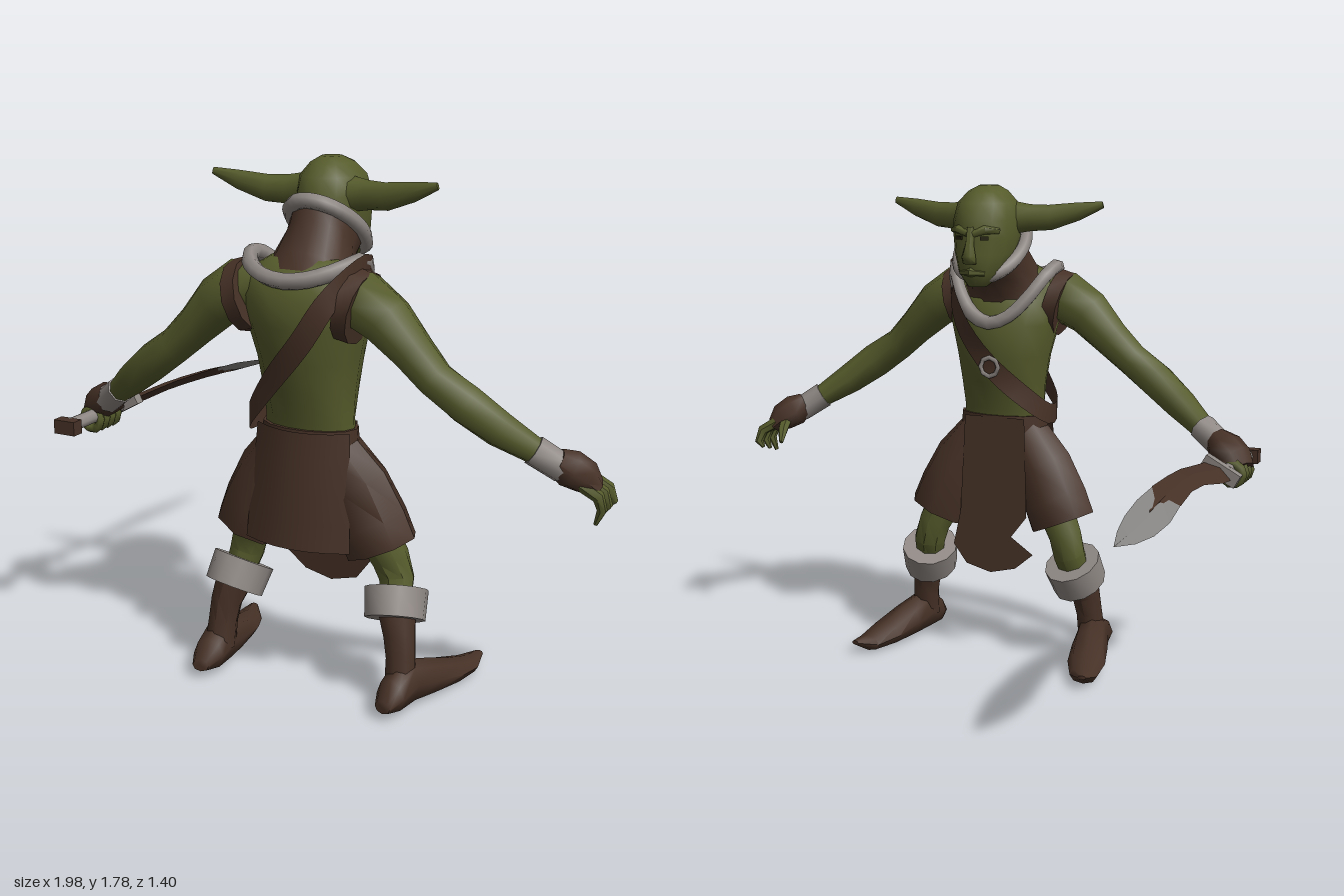
import * as THREE from 'three';
import { toCreasedNormals } from 'three/addons/utils/BufferGeometryUtils.js';

const V = (a) => new THREE.Vector3(...a);
const mat = (name, color) => Object.assign(new THREE.MeshStandardMaterial({ color }), { name });

// Skin through elliptical sections [x, y, z, a, b]; a lies along ref, b across it
function loft(sections, { n = 10, ref = [1, 0, 0], dir = null, crease = 0.8 } = {}) {
  const pos = [], index = [], c = sections.map((s) => V(s.slice(0, 3))), last = c.length - 1;
  sections.forEach(([, , , a, b = a], i) => {
    const t = dir ? V(dir) : c[Math.min(i + 1, last)].clone().sub(c[Math.max(i - 1, 0)]);
    t.normalize();
    const u = V(ref).addScaledVector(t, -V(ref).dot(t)).normalize();
    const v = t.clone().cross(u);
    for (let j = 0; j < n; j++) {
      const q = (j / n) * Math.PI * 2;
      pos.push(...c[i].clone().addScaledVector(u, a * Math.cos(q)).addScaledVector(v, b * Math.sin(q)));
    }
  });
  const end = n * (last + 1);
  pos.push(...c[0], ...c[last]);
  for (let j = 0; j < n; j++) {
    const k = (j + 1) % n;
    for (let i = 0; i < last; i++) {
      const p = i * n;
      index.push(p + j, p + k, p + n + j, p + k, p + n + k, p + n + j);
    }
    index.push(end, k, j, end + 1, last * n + j, last * n + k);
  }
  const g = new THREE.BufferGeometry();
  g.setAttribute('position', new THREE.Float32BufferAttribute(pos, 3));
  g.setIndex(index);
  return toCreasedNormals(g, crease);
}

// Flat band along a closed path, facing away from the body axis
function ribbon(points, width, steps = 40) {
  const curve = new THREE.CatmullRomCurve3(points.map(V), true), pos = [], index = [];
  for (let i = 0; i <= steps; i++) {
    const p = curve.getPointAt((i % steps) / steps), t = curve.getTangentAt((i % steps) / steps);
    const side = new THREE.Vector3(p.x, 0, p.z - 0.48).cross(t).normalize().multiplyScalar(width / 2);
    pos.push(...p.clone().add(side), ...p.clone().sub(side));
    if (i < steps) index.push(2 * i, 2 * i + 1, 2 * i + 2, 2 * i + 1, 2 * i + 3, 2 * i + 2);
  }
  const g = new THREE.BufferGeometry();
  g.setAttribute('position', new THREE.Float32BufferAttribute(pos, 3));
  g.setIndex(index);
  g.computeVertexNormals();
  return g;
}

// Closed roll following f(angle) -> [x, y, z]
function roll(f, radius) {
  const pts = Array.from({ length: 16 }, (_, i) => V(f((i / 16) * Math.PI * 2)));
  return new THREE.TubeGeometry(new THREE.CatmullRomCurve3(pts, true), 32, radius, 6, true);
}

export function createModel() {
  const model = new THREE.Group();
  const skin = mat('green skin', 0x565b2b), leather = mat('brown leather', 0x463126);
  const fur = mat('grey trim', 0x8f8884), steel = mat('steel', 0x858381), dark = mat('dark eye', 0x24200f);
  const cloth = mat('brown cloth', 0x463126);
  cloth.side = THREE.DoubleSide;
  const add = (name, geometry, material) => {
    const m = new THREE.Mesh(geometry, material);
    m.name = name;
    model.add(m);
    return m;
  };
  const up = { dir: [0, 1, 0], n: 14, crease: 1.2 };

  // Torso and head
  add('torso', loft([
    [0, 0.86, 0.47, 0.165, 0.09], [0, 0.95, 0.475, 0.16, 0.09], [0, 1.05, 0.47, 0.165, 0.13],
    [0, 1.15, 0.47, 0.18, 0.15], [0, 1.27, 0.48, 0.21, 0.17], [0, 1.36, 0.5, 0.225, 0.15],
    [0, 1.43, 0.51, 0.2, 0.11], [0, 1.48, 0.5, 0.12, 0.06]], up), skin);
  add('head', loft([
    [0, 1.425, 0.215, 0.035, 0.035], [0, 1.47, 0.265, 0.08, 0.115], [0, 1.54, 0.29, 0.105, 0.145],
    [0, 1.6, 0.3, 0.115, 0.15], [0, 1.66, 0.3, 0.115, 0.155], [0, 1.72, 0.305, 0.105, 0.125],
    [0, 1.76, 0.31, 0.07, 0.08], [0, 1.78, 0.315, 0.035, 0.035]], up), skin);
  add('nose', loft([[0, 1.51, 0.145, 0.026, 0.02], [0, 1.535, 0.135, 0.028, 0.026],
    [0, 1.58, 0.145, 0.016, 0.02], [0, 1.64, 0.155, 0.014, 0.016]], { ...up, n: 6 }), skin);
  add('lips', loft([[-0.045, 1.475, 0.175, 0.01], [0, 1.48, 0.15, 0.016], [0.045, 1.475, 0.175, 0.01]],
    { ref: [0, 1, 0], n: 6 }), skin);

  // Hood, neck and padded collars
  add('neckCowl', loft([[0, 1.36, 0.485, 0.2, 0.15], [0, 1.44, 0.45, 0.14, 0.12],
    [0, 1.51, 0.39, 0.115, 0.13], [0, 1.56, 0.345, 0.115, 0.155]], { n: 14, crease: 1.2 }), leather);
  add('cowlTrim', roll((q) => [0.12 * Math.sin(q), 1.555 + 0.1 * Math.cos(q), 0.345 + 0.13 * Math.cos(q)], 0.026), fur);
  add('collarTrim', roll((q) => {
    const c = Math.cos(q);
    return [0.195 * Math.sin(q), 1.48 - c * c * (c > 0 ? 0.055 : 0.2), 0.48 + 0.16 * c];
  }, 0.027), fur);

  // Diagonal strap with buckle
  add('chestStrap', ribbon([[0.22, 1.47, 0.5], [0.17, 1.38, 0.66], [0.09, 1.25, 0.69], [-0.05, 1.09, 0.655],
    [-0.17, 0.95, 0.58], [-0.19, 0.93, 0.47], [-0.13, 1.0, 0.37], [0, 1.13, 0.31],
    [0.1, 1.27, 0.3], [0.18, 1.4, 0.38]], 0.075), cloth);
  const buckle = add('buckle', new THREE.TorusGeometry(0.035, 0.009, 4, 8), fur);
  buckle.position.set(-0.01, 1.12, 0.3);

  // Waist, back panel and ragged front flap
  add('waistCloth', loft([[0, 0.6, 0.46, 0.11, 0.08], [0, 0.72, 0.47, 0.18, 0.105],
    [0, 0.82, 0.475, 0.18, 0.105], [0, 0.925, 0.475, 0.172, 0.1]], up), leather);
  const back = new THREE.PlaneGeometry(2, 1, 6, 4), bp = back.attributes.position;
  for (let i = 0; i < bp.count; i++) {
    const x = bp.getX(i), d = 0.5 - bp.getY(i);
    bp.setXYZ(i, x * (0.172 + 0.023 * d), 0.92 - 0.39 * d, 0.585 + 0.04 * d - (0.06 - 0.01 * d) * x * x);
  }
  back.computeVertexNormals();
  add('backPanel', back, cloth);
  const flap = new THREE.ShapeGeometry(new THREE.Shape([
    [-0.12, 0.92], [-0.14, 0.55], [-0.08, 0.47], [-0.17, 0.41], [-0.1, 0.35], [0, 0.325],
    [0.1, 0.35], [0.155, 0.42], [0.13, 0.55], [0.12, 0.92]].map((p) => new THREE.Vector2(...p))));
  const fp = flap.attributes.position;
  for (let i = 0; i < fp.count; i++) fp.setZ(i, 0.345 + (fp.getY(i) - 0.33) * 0.05);
  flap.computeVertexNormals();
  add('frontFlap', flap, cloth);

  // Paired parts; s = 1 is the +x side
  for (const s of [1, -1]) {
    const side = s > 0 ? 'left' : 'right';
    const limb = (name, sections, material, opts) =>
      add(side + name, loft(sections.map(([x, ...r]) => [s * x, ...r]), opts), material);
    const Y = { ref: [0, 1, 0], n: 8, crease: 1.1 };

    limb('Ear', [[0.08, 1.665, 0.34, 0.06, 0.05], [0.15, 1.665, 0.345, 0.048, 0.04], [0.22, 1.667, 0.36, 0.045, 0.032],
      [0.32, 1.69, 0.375, 0.032, 0.02], [0.41, 1.715, 0.385, 0.012, 0.006]], skin, Y);
    limb('Brow', [[0.01, 1.615, 0.15, 0.012], [0.05, 1.63, 0.16, 0.016], [0.09, 1.625, 0.2, 0.01]], skin, { ...Y, n: 6 });
    const eye = add(side + 'Eye', new THREE.BoxGeometry(0.03, 0.013, 0.008), dark);
    eye.position.set(s * 0.048, 1.6, 0.162);
    eye.rotation.y = s * -0.45;

    // Arms
    limb('Arm', [[0.12, 1.39, 0.52, 0.07], [0.22, 1.365, 0.525, 0.098], [0.31, 1.31, 0.53, 0.088], [0.4, 1.22, 0.53, 0.07],
      [0.48, 1.145, 0.54, 0.062], [0.58, 1.075, 0.53, 0.066], [0.68, 1.0, 0.5, 0.058], [0.78, 0.93, 0.45, 0.043],
      [0.87, 0.87, 0.41, 0.04]], skin, Y);
    limb('ShoulderStrap', [[0.175, 1.35, 0.525, 0.122], [0.225, 1.337, 0.525, 0.12]], leather, { ...Y, n: 12 });
    limb('WristWrap', [[0.775, 0.935, 0.453, 0.05], [0.86, 0.875, 0.415, 0.048]], fur, Y);
    limb('Glove', [[0.84, 0.9, 0.425, 0.045], [0.875, 0.875, 0.4, 0.062, 0.07], [0.92, 0.845, 0.375, 0.055, 0.07],
      [0.95, 0.815, 0.36, 0.03, 0.06]], leather, Y);

    // Legs
    limb('Shorts', [[0.08, 0.86, 0.475, 0.09, 0.085], [0.16, 0.73, 0.46, 0.12, 0.1], [0.215, 0.61, 0.455, 0.13, 0.115],
      [0.25, 0.525, 0.45, 0.13, 0.112]], leather, { n: 8 });
    limb('Leg', [[0.2, 0.62, 0.45, 0.075], [0.27, 0.48, 0.425, 0.065], [0.29, 0.41, 0.42, 0.062], [0.31, 0.3, 0.47, 0.05]], skin, { n: 8 });
    limb('BootCuff', [[0.312, 0.29, 0.478, 0.1, 0.11], [0.296, 0.378, 0.432, 0.106, 0.112]], fur, { n: 12 });
    limb('BootShaft', [[0.31, 0.33, 0.46, 0.07], [0.335, 0.24, 0.49, 0.056], [0.345, 0.17, 0.5, 0.052],
      [0.35, 0.08, 0.515, 0.055]], leather, { n: 8 });
    limb('BootFoot', [[0.35, 0.05, 0.645, 0.022, 0.03], [0.352, 0.068, 0.59, 0.058, 0.055], [0.36, 0.085, 0.5, 0.08, 0.06],
      [0.385, 0.068, 0.4, 0.065, 0.068], [0.415, 0.046, 0.28, 0.044, 0.07], [0.44, 0.032, 0.18, 0.03, 0.05],
      [0.46, 0.05, 0.11, 0.008, 0.015]], leather, { ...Y, dir: [s * 0.17, 0, -1] });
  }

  // Open left hand
  [[0.42, 0.4], [0.375, 0.35], [0.33, 0.3]].forEach(([z, tip], i) => add('finger' + (i + 1), loft([
    [0.92, 0.835, z, 0.022], [0.975, 0.8, (z + tip) / 2, 0.021], [0.985, 0.755, tip, 0.017],
    [0.965, 0.705 + i * 0.015, tip, 0.007]], { n: 6, ref: [0, 0, 1] }), skin));
  add('thumb', loft([[0.89, 0.85, 0.36, 0.024], [0.875, 0.81, 0.3, 0.02], [0.86, 0.77, 0.26, 0.008]], { n: 6 }), skin);

  // Right hand wrapped round the grip
  for (let i = 0; i < 4; i++) {
    const f = add('gripFinger' + (i + 1), new THREE.TorusGeometry(0.035, 0.018, 6, 10), skin);
    f.position.set(-0.925, 0.8, 0.43 - i * 0.034);
  }

  // Curved sword
  add('grip', loft([[-0.912, 0.815, 0.58, 0.026], [-0.912, 0.815, 0.28, 0.026]], { n: 8 }), fur);
  add('pommel', new THREE.BoxGeometry(0.085, 0.05, 0.045), leather).position.set(-0.912, 0.815, 0.585);
  const guard = add('guard', new THREE.BoxGeometry(0.14, 0.05, 0.035), fur);
  guard.position.set(-0.9, 0.82, 0.27);
  guard.rotation.z = 0.5;
  const blade = { n: 4, ref: [0.87, 0.5, 0], dir: [0, 0, -1], crease: 0.2 };
  add('bladeBase', loft([[-0.893, 0.82, 0.26, 0.055, 0.016], [-0.885, 0.825, 0.18, 0.056, 0.016],
    [-0.86, 0.838, 0.06, 0.048, 0.015], [-0.85, 0.838, -0.05, 0.047, 0.015], [-0.85, 0.828, -0.2, 0.056, 0.015],
    [-0.85, 0.82, -0.28, 0.04, 0.0145], [-0.85, 0.808, -0.39, 0.004, 0.0125]], blade), leather);
  add('bladeTip', loft([[-0.85, 0.829, -0.19, 0.054, 0.011], [-0.855, 0.812, -0.35, 0.063, 0.011],
    [-0.852, 0.795, -0.48, 0.055, 0.01], [-0.848, 0.785, -0.59, 0.034, 0.008], [-0.845, 0.782, -0.695, 0.001, 0.001]], blade), steel);

  return model;
}
